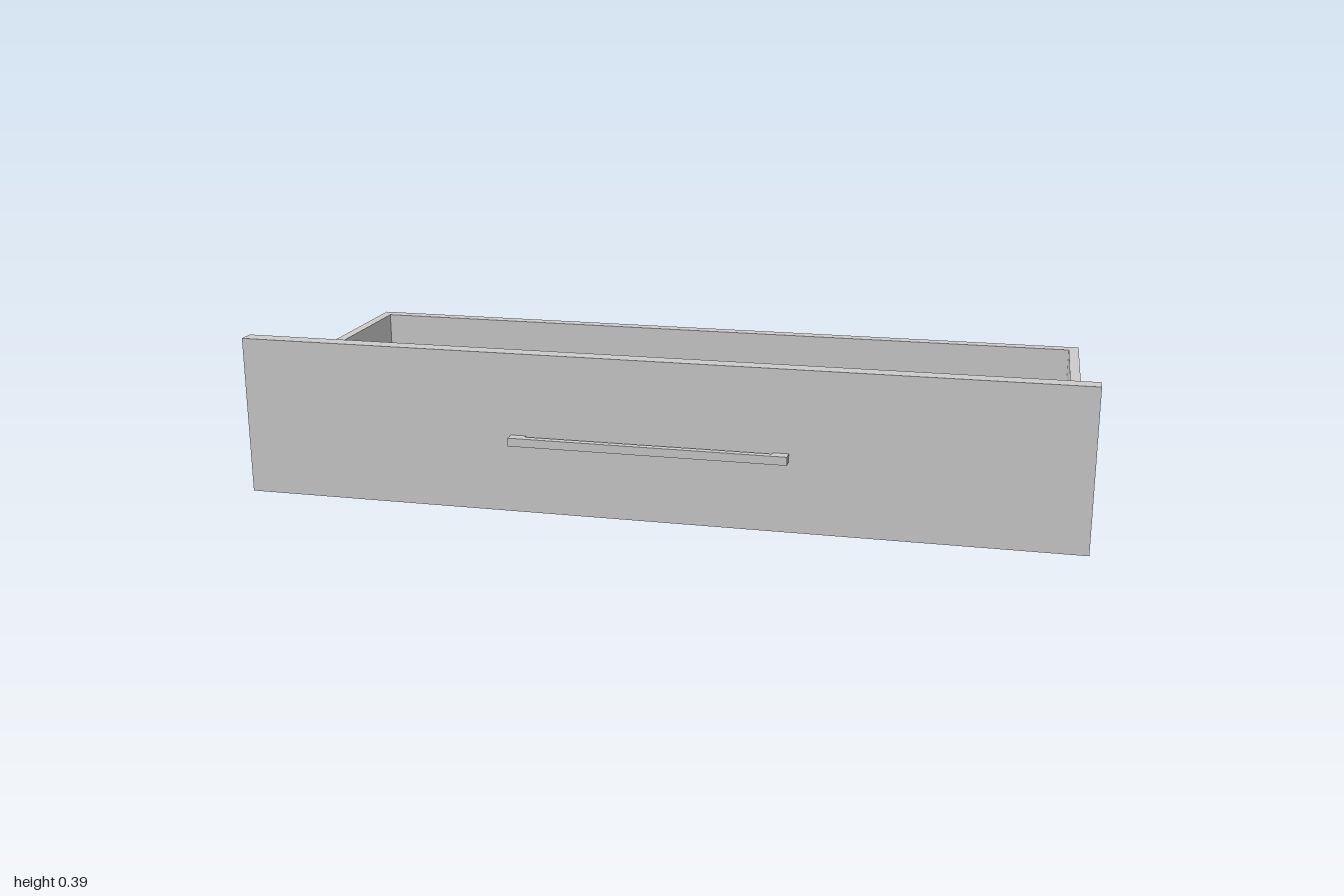
import * as THREE from 'three';

export function createModel() {
  const group = new THREE.Group();
  group.name = 'drawer';
  const material = new THREE.MeshStandardMaterial({ color: 0xcccccc });

  const add = (name, geometry) => {
    const mesh = new THREE.Mesh(geometry, material);
    mesh.name = name;
    group.add(mesh);
    return mesh;
  };
  // box given by its lower and upper limits on each axis
  const box = (name, [x0, x1], [y0, y1], [z0, z1]) =>
    add(name, new THREE.BoxGeometry(x1 - x0, y1 - y0, z1 - z0))
      .position.set((x0 + x1) / 2, (y0 + y1) / 2, (z0 + z1) / 2);

  const inner = 0.946, outer = 0.971;
  const bottom = 0.018, top = 0.277;
  const back = -0.41, front = 0.345;

  // front panel, back panel and floor (a slim gap is left behind the front)
  box('frontPanel', [-1, 1], [0, 0.386], [front, 0.385]);
  box('backPanel', [-inner, inner], [bottom, top], [back, -0.377]);
  box('floor', [-inner, inner], [bottom, 0.036], [-0.377, 0.332]);

  // side panels with a runner groove along the outer face
  const groove = outer - 0.013;
  for (const [name, s] of [['leftSide', 1], ['rightSide', -1]]) {
    const profile = new THREE.Shape([
      [inner, bottom], [outer, bottom], [outer, 0.127], [groove, 0.127],
      [groove, 0.167], [outer, 0.167], [outer, top], [inner, top],
    ].map(([x, y]) => new THREE.Vector2(s * x, y)));
    add(name, new THREE.ExtrudeGeometry(profile, { depth: front - back, bevelEnabled: false }))
      .position.z = back;
  }

  // handle: a bar on two short posts
  const handleY = [0.169, 0.189];
  box('handleBar', [-0.329, 0.329], handleY, [0.394, 0.411]);
  box('handlePostLeft', [0.292, 0.329], handleY, [0.385, 0.394]);
  box('handlePostRight', [-0.329, -0.292], handleY, [0.385, 0.394]);

  return group;
}
